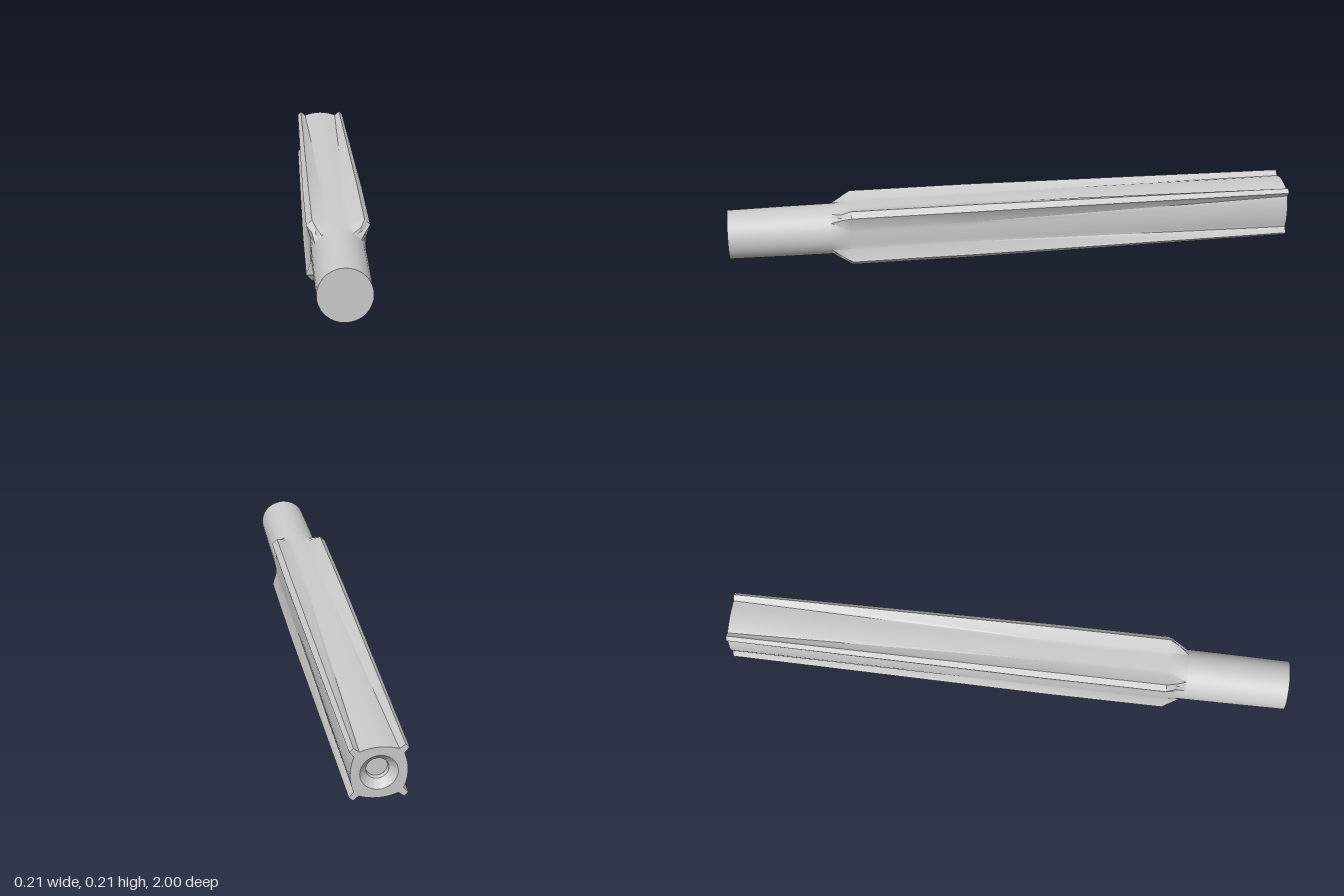
import * as THREE from 'three';
import { toCreasedNormals } from 'three/addons/utils/BufferGeometryUtils.js';

const AXIS_Y = 0.106;
const FACE_STEPS = 6;

// Quarter outline centred on +x: a face from -crease to +crease, then a corner fin.
function ring(quarter, z) {
  const points = [];
  for (let q = 0; q < 4; q++) {
    const c = Math.round(Math.cos(q * Math.PI / 2));
    const s = Math.round(Math.sin(q * Math.PI / 2));
    for (const [x, y] of quarter) points.push(new THREE.Vector3(x * c - y * s, x * s + y * c, z));
  }
  return points;
}

function finnedRing(z, side, [creaseX, creaseY], [tipOut, tipIn], notch = 0) {
  const quarter = [];
  for (let i = 0; i <= FACE_STEPS; i++) {
    const t = (i / FACE_STEPS) * 2 - 1;
    quarter.push([side - (side - creaseX) * t * t, creaseY * t]);
  }
  const mid = (tipOut + tipIn) / 2 - notch;
  quarter.push([tipOut, tipIn], [mid, mid], [tipIn, tipOut]);
  return ring(quarter, z);
}

function roundRing(z, radius) {
  const quarter = [];
  for (let i = 0; i <= FACE_STEPS; i++) quarter.push((i / FACE_STEPS) * 60 - 30);
  quarter.push(38, 45, 52);
  return ring(quarter.map((deg) => {
    const a = THREE.MathUtils.degToRad(deg);
    return [radius * Math.cos(a), radius * Math.sin(a)];
  }), z);
}

// Skin a list of matching rings, ordered from front to back.
function loft(rings) {
  const positions = [];
  const n = rings[0].length;
  for (let k = 0; k < rings.length - 1; k++) {
    for (let j = 0; j < n; j++) {
      const a = rings[k][j], b = rings[k][(j + 1) % n];
      const c = rings[k + 1][j], d = rings[k + 1][(j + 1) % n];
      for (const p of [a, c, b, b, c, d]) positions.push(p.x, p.y, p.z);
    }
  }
  const geometry = new THREE.BufferGeometry();
  geometry.setAttribute('position', new THREE.Float32BufferAttribute(positions, 3));
  return toCreasedNormals(geometry, THREE.MathUtils.degToRad(24));
}

export function createModel() {
  const model = new THREE.Group();
  model.name = 'finnedRod';
  const material = new THREE.MeshStandardMaterial({ color: 0xcccccc });
  const add = (name, geometry, z = 0) => {
    const mesh = new THREE.Mesh(geometry, material);
    mesh.name = name;
    mesh.position.set(0, AXIS_Y, z);
    model.add(mesh);
    return mesh;
  };

  // Round neck with a slight taper
  add('neck', loft([roundRing(1, 0.0865), roundRing(0.8, 0.089), roundRing(0.64, 0.09)]));
  add('neckCap', new THREE.ShapeGeometry(
    new THREE.Shape(roundRing(0, 0.0865).map((p) => new THREE.Vector2(p.x, p.y)))), 1);

  // Four-finned shaft, with sloped fin ends and faces that bulge towards the back
  const rear = finnedRing(-1, 0.09, [0.078, 0.062], [0.093, 0.08]);
  add('shaft', loft([
    roundRing(0.64, 0.09),
    finnedRing(0.605, 0.09, [0.084, 0.043], [0.087, 0.072], 0.004),
    finnedRing(0.57, 0.09, [0.09, 0.04], [0.104, 0.085]),
    finnedRing(0.15, 0.09, [0.09, 0.038], [0.104, 0.085]),
    rear,
  ]));

  // Rear face with a countersunk centre hole
  add('rearFace', loft([rear, roundRing(-1, 0.06)]));
  add('countersink', loft([roundRing(-1, 0.06), roundRing(-0.975, 0.036), roundRing(-0.96, 0.034)]));
  add('holeFloor', new THREE.CircleGeometry(0.034, 40), -0.96).rotation.y = Math.PI;

  return model;
}
